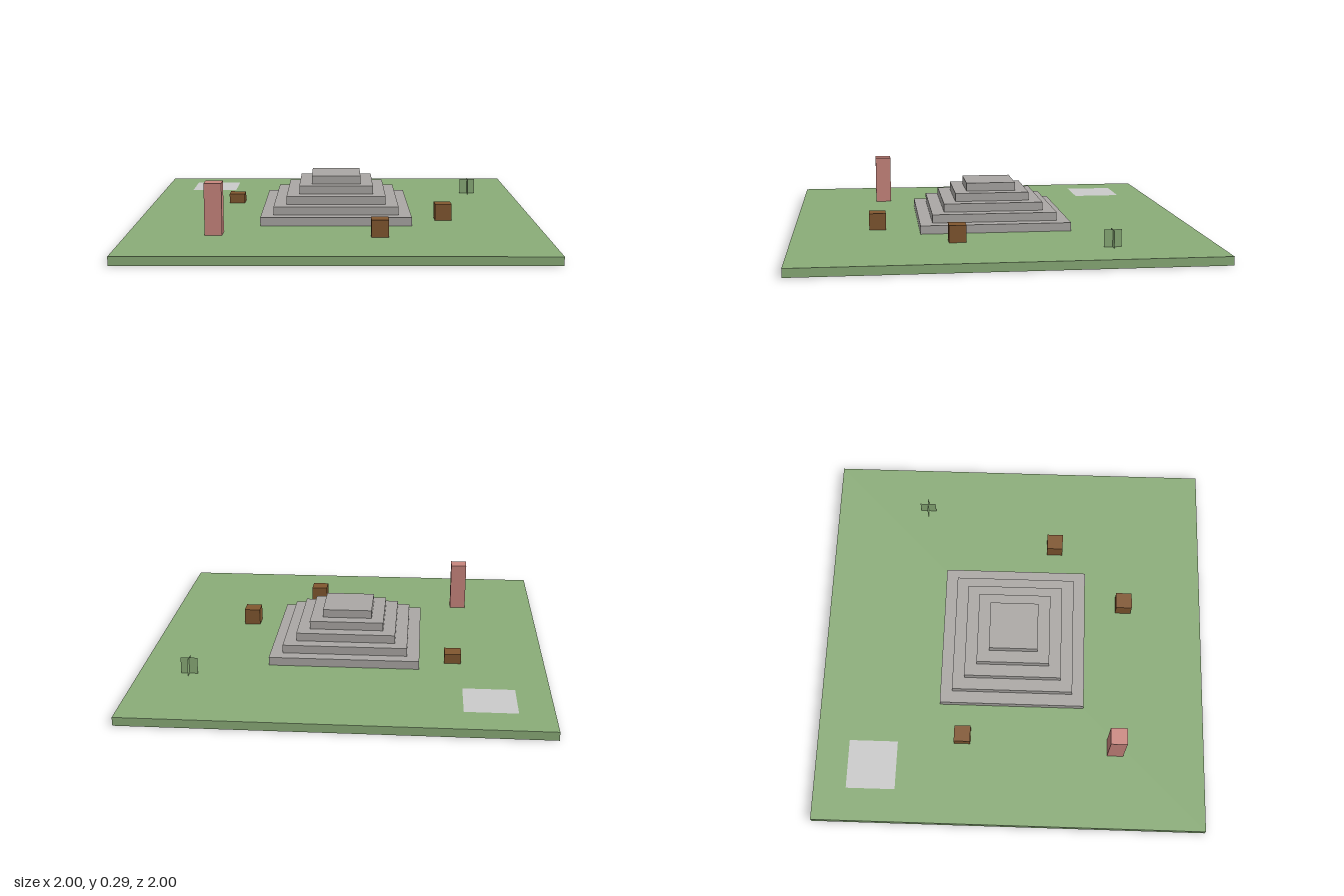
import * as THREE from 'three';

const U = 1 / 24; // layout unit

function material(name, color, side = THREE.FrontSide) {
  const m = new THREE.MeshStandardMaterial({ color, side });
  m.name = name;
  return m;
}

export function createModel() {
  const model = new THREE.Group();
  model.name = 'steppedPyramidField';

  const grass = material('grass green', 0x8aac78);
  const leaf = material('leaf green', 0x8aac78, THREE.DoubleSide);
  const stone = material('stone grey', 0xaaa7a4);
  const brick = material('brick red', 0xc8857d);
  const wood = material('wood brown', 0x80562f);
  const pale = material('pale grey', 0xcacaca, THREE.DoubleSide);

  // Box standing on height y, sizes and positions in layout units
  function box(name, mat, w, h, d, x, y, z) {
    const mesh = new THREE.Mesh(new THREE.BoxGeometry(w * U, h * U, d * U), mat);
    mesh.name = name;
    mesh.position.set(x * U, (y + h / 2) * U, z * U);
    model.add(mesh);
  }

  // Ground slab
  box('ground', grass, 48, 1, 48, 0, 0, 0);

  // Five shrinking steps
  for (let i = 0; i < 5; i++) {
    const w = 18 - 3 * i;
    box('pyramidStep' + (i + 1), stone, w, 1, w, 0, 1 + i, 0);
  }

  // Tall pillar
  box('pillar', brick, 2, 6, 2, -14, 1, 13);

  // Crates, the one at the back half buried
  [[13, 5, 2], [5, 14, 2], [-13, -6, 1.2]].forEach(([x, z, h], i) =>
    box('crate' + (i + 1), wood, 2, h, 2, x, 1, z));

  // Plant made of two crossed leaves
  const plant = new THREE.Group();
  plant.name = 'plant';
  plant.position.set(18 * U, 2 * U, -12 * U);
  for (const turn of [0, Math.PI / 2]) {
    const blade = new THREE.Mesh(new THREE.PlaneGeometry(2 * U, 2 * U), leaf);
    blade.name = 'leafBlade';
    blade.rotation.y = turn;
    plant.add(blade);
  }
  model.add(plant);

  // Flat paved patch just above the grass
  const patch = new THREE.Mesh(new THREE.PlaneGeometry(6 * U, 6 * U), pale);
  patch.name = 'pavedPatch';
  patch.rotation.x = -Math.PI / 2;
  patch.position.set(-17 * U, 1.04 * U, -17 * U);
  model.add(patch);

  return model;
}
